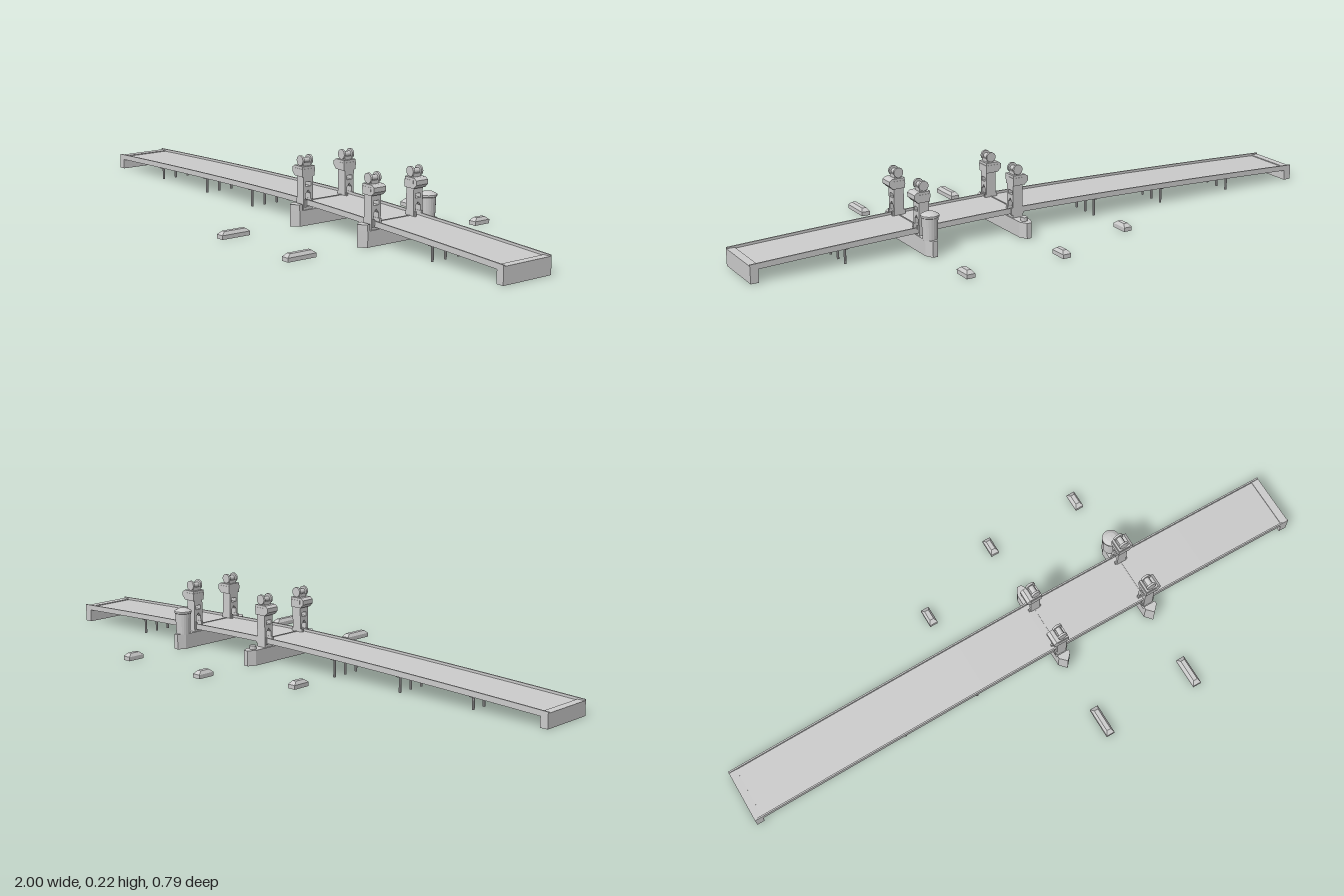
import * as THREE from 'three';

const mat = new THREE.MeshStandardMaterial({ color: 0xcccccc, flatShading: true });
const BACK = -0.107, FRONT = 0.077, MID = -0.015;
const PIERS = [0.11, 0.44];

function add(parent, name, geo, x = 0, y = 0, z = 0) {
  const mesh = new THREE.Mesh(geo, mat);
  mesh.name = name;
  mesh.position.set(x, y, z);
  parent.add(mesh);
  return mesh;
}

const box = (w, h, d) => new THREE.BoxGeometry(w, h, d);
const shapeOf = pts => new THREE.Shape(pts.map(p => new THREE.Vector2(p[0], p[1])));
const extrude = (shape, depth) => new THREE.ExtrudeGeometry(shape, { depth, bevelEnabled: false });

// Height of the parapet top along the gently arched roadway
const crown = x => 0.082 - 0.032 * Math.pow(Math.abs(x - 0.1) / 1.1, 1.5);

// Long strip that follows the arch, between two offsets below the crown
function strip(parent, name, z0, z1, top, bottom) {
  const up = [], down = [];
  for (let i = 0; i <= 24; i++) {
    const x = -1 + i / 12;
    up.push([x, crown(x) - top]);
    down.unshift([x, crown(x) - bottom]);
  }
  add(parent, name, extrude(shapeOf([...down.reverse(), ...up.reverse()]), z1 - z0), 0, 0, z0);
}

// Plan outline (x, z) raised into a vertical prism
function prism(parent, name, plan, x, y, height) {
  const geo = extrude(shapeOf(plan.map(([a, z]) => [a, -z])), height);
  geo.rotateX(-Math.PI / 2);
  add(parent, name, geo, x, y, 0);
}

// Low fender block with a smaller top
function fender(parent, x, z0, z1) {
  const len = z1 - z0, mid = (z0 + z1) / 2;
  add(parent, 'fenderBase', box(0.028, 0.013, len), x, 0.0065, mid);
  const top = box(0.028, 0.01, len);
  const p = top.attributes.position;
  for (let i = 0; i < p.count; i++) {
    if (p.getY(i) > 0) {
      p.setX(i, p.getX(i) * 0.5);
      p.setZ(i, p.getZ(i) - Math.sign(p.getZ(i)) * 0.013);
    }
  }
  top.computeVertexNormals();
  add(parent, 'fenderTop', top, x, 0.018, mid);
}

// Tower with open windows, bulging hood and cable wheel; side is the overhang direction
function tower(side) {
  const g = new THREE.Group();
  g.name = 'tower';
  const wall = shapeOf([[-0.018, 0.048], [0.018, 0.048], [0.018, 0.158], [-0.018, 0.158]]);
  const hole = pts => wall.holes.push(new THREE.Path(pts.map(p => new THREE.Vector2(p[0], p[1]))));
  hole([[-0.01, 0.06], [-0.01, 0.1], [0, 0.112], [0.01, 0.1], [0.01, 0.06]]);
  hole([[-0.01, 0.124], [-0.01, 0.138], [0.01, 0.138], [0.01, 0.124]]);
  const body = extrude(wall, 0.034);
  body.translate(0, 0, -0.017);
  body.rotateY(Math.PI / 2);
  add(g, 'towerBody', body);

  // Hood cross-section in x and y
  let hood = [[-0.019, 0.155], [0.022, 0.155], [0.034, 0.167], [0.034, 0.181], [0.024, 0.188], [-0.019, 0.188]];
  hood = hood.map(([x, y]) => [x * side, y]);
  add(g, 'towerHood', extrude(shapeOf(hood), 0.046), 0, 0, -0.023);
  add(g, 'hoodBand', box(0.04, 0.012, 0.048), 0, 0.174, 0);
  add(g, 'wheelSeat', box(0.024, 0.014, 0.03), 0, 0.192, 0);

  const cyl = (r, d) => new THREE.CylinderGeometry(r, r, d, 16).rotateX(Math.PI / 2);
  add(g, 'axle', cyl(0.009, 0.034), 0, 0.204, 0);
  for (const s of [-1, 1]) {
    add(g, 'cableWheel', cyl(0.016, 0.007), 0, 0.205, s * 0.0165);
    add(g, 'towerFoot', box(0.044, 0.024, 0.007), 0, 0.071, s * 0.0125);
  }
  return g;
}

export function createModel() {
  const model = new THREE.Group();
  model.name = 'bridge';

  // Roadway
  const deck = new THREE.Group();
  deck.name = 'deck';
  model.add(deck);
  strip(deck, 'roadSlab', BACK, FRONT, 0.008, 0.012);
  strip(deck, 'backParapet', BACK, BACK + 0.005, 0, 0.018);
  strip(deck, 'frontParapet', FRONT - 0.005, FRONT, 0, 0.018);
  for (const x of PIERS) add(deck, 'spanJoint', box(0.004, 0.003, FRONT - BACK - 0.01), x, crown(x) - 0.008, MID);

  // Abutments at both ends
  for (const s of [-1, 1]) {
    const h = crown(s) - 0.004;
    add(model, 'abutment', box(0.026, h, FRONT - BACK), s * 0.987, h / 2, MID);
  }

  // Trestles under the approaches
  for (const x of [-0.73, -0.455, -0.19, 0.695]) {
    const g = new THREE.Group();
    g.name = 'trestle';
    model.add(g);
    const y = crown(x) - 0.012;
    add(g, 'capBeam', box(0.012, 0.009, 0.176), x, y - 0.0045, MID);
    for (let i = 0; i < 4; i++) {
      add(g, 'post', new THREE.CylinderGeometry(0.004, 0.004, y, 8), x, y / 2, MID + (i - 1.5) * 0.05);
    }
  }

  // Pointed piers with towers
  PIERS.forEach((x, i) => {
    const w = 0.021;
    const plan = [[-w, 0.106], [0, 0.13], [w, 0.106], [w, -0.155], [0.008, -0.18], [-0.008, -0.18], [-w, -0.155]];
    prism(model, 'pier', plan, x, 0, 0.05);
    prism(model, 'cutwater', [[-w, 0.097], [-w, 0.108], [0, 0.13], [w, 0.108], [w, 0.097]], x, 0.05, 0.02);
    for (const z of [0.0715, -0.093]) {
      const t = tower(i ? 1 : -1);
      t.position.set(x, 0, z);
      model.add(t);
    }
    fender(model, x, 0.292, 0.395);
    fender(model, x, -0.395, -0.335);
  });
  fender(model, -0.19, -0.283, -0.222);

  // Mooring post on one pier, round control cabin on the other
  add(model, 'mooringPost', new THREE.CylinderGeometry(0.011, 0.011, 0.012, 12), PIERS[0], 0.056, -0.148);
  const profile = [[0, 0.048], [0.023, 0.048], [0.026, 0.118], [0.029, 0.12], [0.029, 0.126], [0.016, 0.133], [0, 0.135]];
  add(model, 'controlCabin', new THREE.LatheGeometry(profile.map(p => new THREE.Vector2(p[0], p[1])), 20), PIERS[1], 0, -0.147);
  return model;
}
